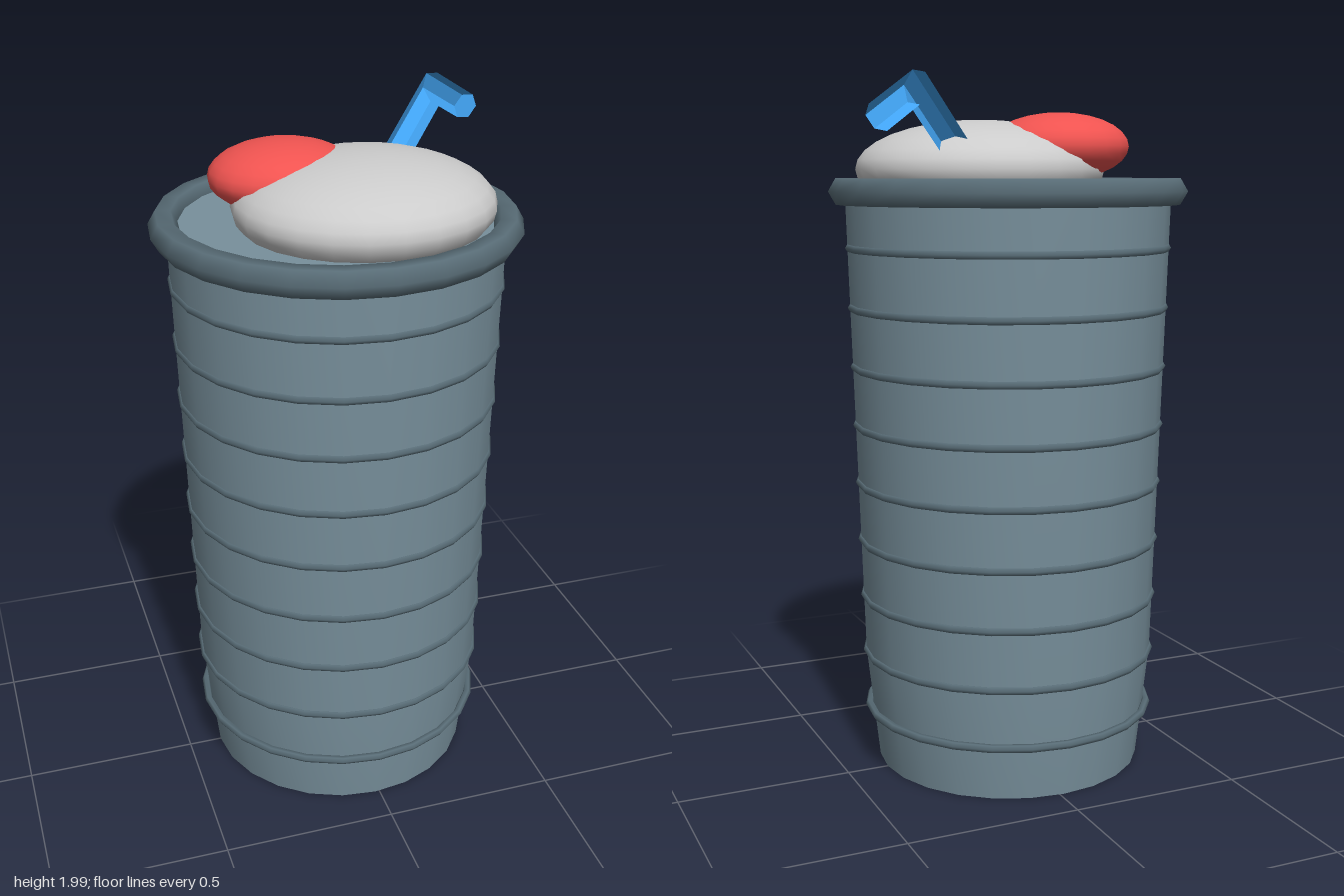
import * as THREE from 'three';
import { toCreasedNormals } from 'three/addons/utils/BufferGeometryUtils.js';

const SIDES = 24;
const mat = (color, extra = {}) => new THREE.MeshStandardMaterial({ color, ...extra });

function add(parent, name, geometry, material, x = 0, y = 0, z = 0) {
  const mesh = new THREE.Mesh(geometry, material);
  mesh.name = name;
  mesh.position.set(x, y, z);
  parent.add(mesh);
  return mesh;
}

// Horizontal hoop lying flat around the cup
const hoop = (radius, tube) =>
  new THREE.TorusGeometry(radius, tube, 6, SIDES).rotateX(Math.PI / 2);

// Six-sided rod through three points, with a mitred joint at the middle one
function bentRod(start, bend, end, radius) {
  const t1 = bend.clone().sub(start).normalize();
  const t2 = end.clone().sub(bend).normalize();
  const side = t1.clone().cross(t2).normalize();
  const mid = t1.clone().add(t2).normalize();
  const stretch = 1 / mid.dot(t1);
  const rings = [
    { at: start, up: side.clone().cross(t1) },
    { at: bend, up: side.clone().cross(mid).multiplyScalar(stretch) },
    { at: end, up: side.clone().cross(t2) },
  ];
  const geometry = new THREE.CylinderGeometry(radius, radius, 2, 6, 2);
  const pos = geometry.attributes.position;
  const v = new THREE.Vector3();
  for (let i = 0; i < pos.count; i++) {
    const ring = rings[Math.round(pos.getY(i)) + 1];
    v.copy(ring.at)
      .addScaledVector(side, pos.getZ(i))
      .addScaledVector(ring.up, -pos.getX(i));
    // keep the section right-handed so faces point outward
    v.addScaledVector(ring.up, 2 * pos.getX(i));
    pos.setXYZ(i, v.x, v.y, v.z);
  }
  geometry.computeVertexNormals();
  return geometry;
}

export function createModel() {
  const model = new THREE.Group();
  model.name = 'drinkCup';

  const cupMat = mat(0x78909c);
  const trimMat = mat(0x586c76);

  const cup = new THREE.Group();
  cup.name = 'cup';
  cup.position.x = -0.012;
  model.add(cup);

  // Tapered cup with a closed bottom and a filled top
  const profile = [[0, 0], [0.39, 0], [0.427, 0.33], [0.468, 1.69], [0, 1.69]]
    .map(([r, y]) => new THREE.Vector2(r, y));
  add(cup, 'cupBody', toCreasedNormals(new THREE.LatheGeometry(profile, SIDES), 0.6), cupMat);

  // Thin ribs up the wall
  for (let i = 0; i < 9; i++) {
    const y = 0.16 + i * 0.1705;
    add(cup, 'rib', hoop(0.415 + 0.028 * y, 0.012), trimMat, 0, y);
  }

  // Rolled rim
  add(cup, 'rim', hoop(0.472, 0.043), trimMat, 0, 1.683);

  // Cream dome and the fruit sunk into it
  const cream = add(model, 'cream', new THREE.SphereGeometry(1, 24, 16), mat(0xcccccc), 0.048, 1.745, 0.06);
  cream.scale.set(0.363, 0.14, 0.34);
  const fruit = add(model, 'fruit', new THREE.SphereGeometry(1, 20, 14), mat(0xef5350), -0.145, 1.81, -0.06);
  fruit.scale.set(0.207, 0.095, 0.183);

  // Bent straw
  const straw = bentRod(
    new THREE.Vector3(0.22, 1.8, -0.175),
    new THREE.Vector3(0.383, 1.95, -0.31),
    new THREE.Vector3(0.51, 1.87, -0.375),
    0.04,
  );
  add(model, 'straw', straw, mat(0x42a5f5, { flatShading: true }));

  return model;
}
